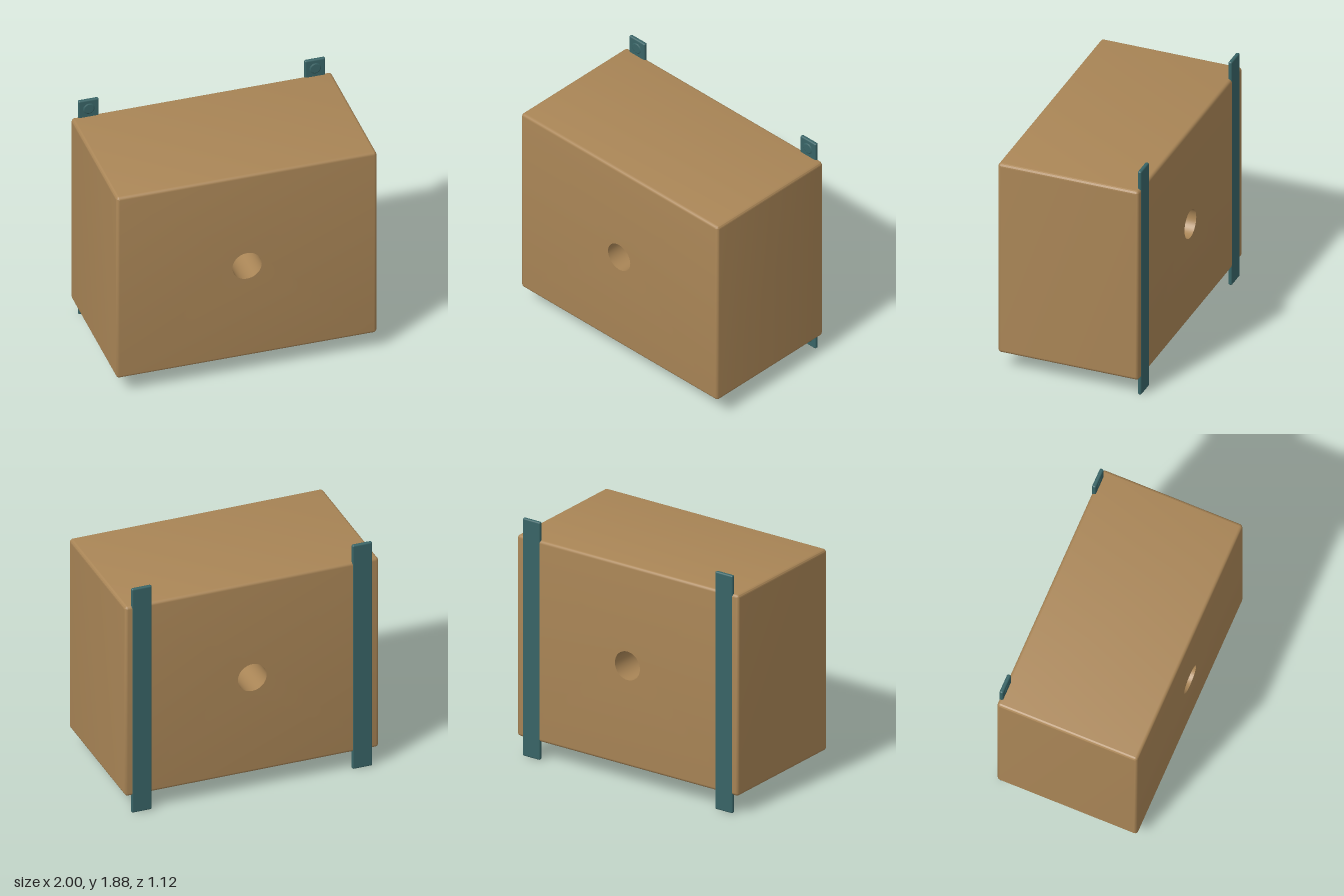
import * as THREE from 'three';
import { toCreasedNormals } from 'three/addons/utils/BufferGeometryUtils.js';
import { RoundedBoxGeometry } from 'three/addons/geometries/RoundedBoxGeometry.js';

const W = 2, H = 1.595, D = 1.115, MID_Y = 0.943;
const HOLE_R = 0.113, EDGE = 0.024;

function roundedRect(w, h, r) {
  const x = w / 2, y = h / 2, s = new THREE.Shape();
  s.absarc(x - r, y - r, r, 0, Math.PI / 2);
  s.absarc(-x + r, y - r, r, Math.PI / 2, Math.PI);
  s.absarc(-x + r, -y + r, r, Math.PI, Math.PI * 1.5);
  s.absarc(x - r, -y + r, r, Math.PI * 1.5, Math.PI * 2);
  s.closePath();
  return s;
}

// Block with rounded outer edges and a straight, sharp-edged bore
function blockGeometry() {
  const shape = roundedRect(W, H, EDGE + 0.002);
  shape.holes.push(new THREE.Path().absarc(0, 0, HOLE_R, 0, Math.PI * 2, true));
  const geo = new THREE.ExtrudeGeometry(shape, {
    depth: D - 2 * EDGE, curveSegments: 20,
    bevelThickness: EDGE, bevelSize: EDGE, bevelOffset: -EDGE, bevelSegments: 4,
  });
  geo.translate(0, 0, -D / 2 + EDGE);
  // Pull the bevelled rim of the bore back to a constant radius
  const p = geo.attributes.position;
  for (let i = 0; i < p.count; i++) {
    const r = Math.hypot(p.getX(i), p.getY(i));
    if (r < 0.3) p.setXY(i, p.getX(i) * HOLE_R / r, p.getY(i) * HOLE_R / r);
  }
  return toCreasedNormals(geo, 0.7);
}

export function createModel() {
  const wood = new THREE.MeshStandardMaterial({ color: 0xa98556 });
  wood.name = 'tan body';
  const teal = new THREE.MeshStandardMaterial({ color: 0x386466 });
  teal.name = 'dark teal';

  const model = new THREE.Group();
  model.name = 'strappedBlock';
  const add = (name, geo, mat, x, y, z) => {
    const mesh = new THREE.Mesh(geo, mat);
    mesh.name = name;
    mesh.position.set(x, y, z);
    model.add(mesh);
    return mesh;
  };

  add('block', blockGeometry(), wood, 0, MID_Y, 0);

  // Mounting straps let into the back, with a low boss on each exposed end
  const strapGeo = new RoundedBoxGeometry(0.158, 1.885, 0.03, 3, 0.012);
  const bossGeo = new THREE.CylinderGeometry(0.036, 0.045, 0.005, 24);
  bossGeo.rotateX(Math.PI / 2);
  for (const [side, s] of [['left', 1], ['right', -1]]) {
    add(side + 'Strap', strapGeo, teal, s * 0.87, MID_Y, -0.5445);
    add(side + 'UpperBoss', bossGeo, teal, s * 0.87, 1.81, -0.527);
    add(side + 'LowerBoss', bossGeo, teal, s * 0.87, 0.076, -0.527);
  }
  return model;
}
